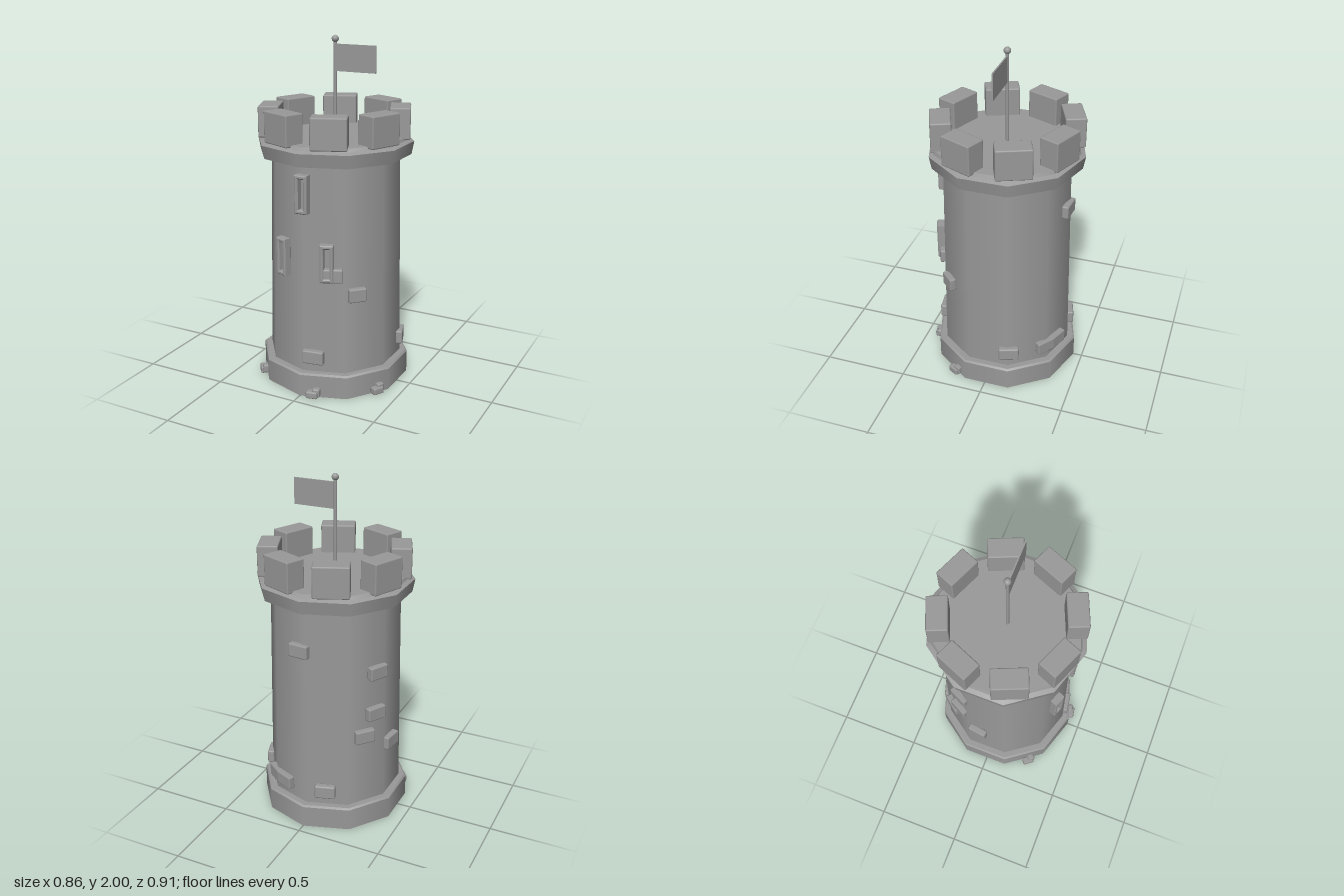
import * as THREE from 'three';
import { RoundedBoxGeometry } from 'three/addons/geometries/RoundedBoxGeometry.js';

const stone = new THREE.MeshStandardMaterial({ color: 0x999999 });
stone.name = 'greyStone';

export function createModel() {
  const model = new THREE.Group();
  model.name = 'watchtower';
  // Everything is built around the tower axis, which sits slightly behind the centre
  const tower = new THREE.Group();
  tower.name = 'tower';
  tower.position.z = -0.01;
  model.add(tower);

  const add = (name, geometry, x = 0, y = 0, z = 0) => {
    const mesh = new THREE.Mesh(geometry, stone);
    mesh.name = name;
    mesh.position.set(x, y, z);
    tower.add(mesh);
    return mesh;
  };

  // Ten-sided ring or drum between two heights
  const drum = (name, y0, y1, r0, r1) =>
    add(name, new THREE.CylinderGeometry(r1, r0, y1 - y0, 10), 0, (y0 + y1) / 2, 0);

  // Place a part on the wall, facing outward; angle 0 is the front, 90 the left
  const around = (name, geometry, degrees, radius, y) => {
    const a = THREE.MathUtils.degToRad(degrees);
    const mesh = add(name, geometry, Math.sin(a) * radius, y, Math.cos(a) * radius);
    mesh.rotation.y = a;
    return mesh;
  };
  const block = (w, h, d, r) => new RoundedBoxGeometry(w, h, d, 1, r);

  // Foundation, tapering wall and parapet ring
  drum('foundation', 0, 0.13, 0.437, 0.437);
  drum('foundationBevel', 0.13, 0.14, 0.437, 0.427);
  drum('wall', 0.13, 1.36, 0.3925, 0.372);
  drum('parapetRing', 1.345, 1.42, 0.436, 0.45);
  drum('parapetBevel', 1.42, 1.432, 0.45, 0.425);
  drum('roofFloor', 1.43, 1.45, 0.425, 0.415);

  // Battlements
  for (let i = 0; i < 8; i++) {
    around('merlon', block(0.2, 0.178, 0.118, 0.008), 22.5 + i * 45, 0.367, 1.526);
  }

  // Open window frames
  const outline = (w, h, path) => path
    .moveTo(-w / 2, -h / 2).lineTo(w / 2, -h / 2)
    .lineTo(w / 2, h / 2).lineTo(-w / 2, h / 2).closePath();
  const frame = new THREE.Shape();
  outline(0.064, 0.204, frame);
  const slit = new THREE.Path();
  outline(0.044, 0.184, slit);
  frame.holes.push(slit);
  const frameGeometry = new THREE.ExtrudeGeometry(frame, {
    depth: 0.038, bevelEnabled: true, bevelThickness: 0.006, bevelSize: 0.006, bevelSegments: 1,
  });
  frameGeometry.translate(0, 0, -0.019);
  for (const [angle, y] of [[0, 1.185], [-20.7, 0.803], [20.7, 0.803]]) {
    around('windowFrame', frameGeometry, angle, 0.387, y);
  }

  // Raised bricks: angle, height, width
  const bricks = [
    [9, 0.235, 0.125], [25, 0.73, 0.12], [46, 0.61, 0.105], [109, 0.235, 0.12],
    [143, 0.235, 0.12], [157, 0.235, 0.12], [197, 0.235, 0.12], [174, 1.1, 0.12],
    [244, 0.96, 0.12], [242, 0.71, 0.12], [231, 0.58, 0.12], [262, 0.48, 0.12],
  ];
  for (const [angle, y, w] of bricks) {
    const wallRadius = 0.395 - 0.017 * y;
    around('brick', block(w, 0.08, 0.042, 0.009), angle, wallRadius, y);
  }

  // Pairs of loose stones at the foot
  for (const angle of [10, 61, -51]) {
    around('looseStone', block(0.07, 0.042, 0.045, 0.01), angle, 0.437, 0.024);
    around('looseStone', block(0.045, 0.05, 0.04, 0.01), angle + 3, 0.428, 0.035);
  }

  // Flagpole with knob and flag
  add('flagpole', new THREE.CylinderGeometry(0.009, 0.009, 0.54, 12), 0, 1.71, 0);
  add('poleKnob', new THREE.SphereGeometry(0.02, 16, 10), 0, 1.98, 0);
  add('flag', new THREE.BoxGeometry(0.245, 0.15, 0.008), 0.1275, 1.877, 0);

  return model;
}
